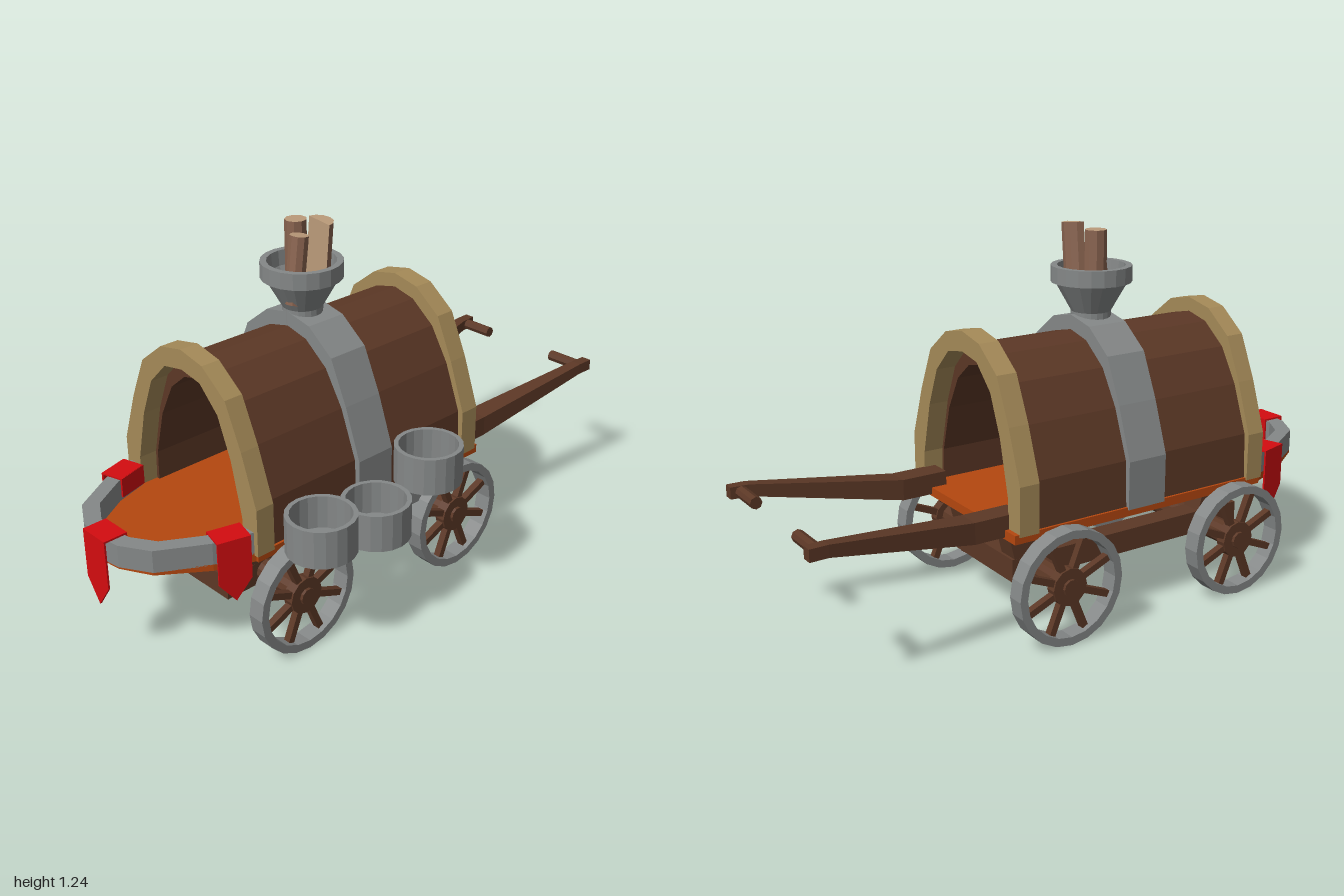
import * as THREE from 'three';

const mat = (name, color) => {
  const m = new THREE.MeshStandardMaterial({ color, flatShading: true, side: THREE.DoubleSide });
  m.name = name;
  return m;
};

export function createModel() {
  const wood = mat('dark wood', 0x5c3826);
  const metal = mat('grey metal', 0x858888);
  const plank = mat('orange floor', 0xb5470f);
  const gold = mat('tan trim', 0xa58a58);
  const red = mat('red cloth', 0xd40c10);
  const bark = mat('log bark', 0x8a6450);
  const cream = mat('cut log', 0xbb9b7a);

  const root = new THREE.Group();
  root.name = 'wagon';
  const body = new THREE.Group(); // everything symmetric about the wagon's own middle
  body.name = 'wagonBody';
  body.position.x = -0.08;
  root.add(body);

  const add = (parent, name, geo, material, x = 0, y = 0, z = 0) => {
    const m = new THREE.Mesh(geo, material);
    m.name = name;
    m.position.set(x, y, z);
    parent.add(m);
    return m;
  };
  const box = (w, h, d) => new THREE.BoxGeometry(w, h, d);
  const lathe = (pts, n) => new THREE.LatheGeometry(pts.map(p => new THREE.Vector2(...p)), n);
  const shapeOf = pts => new THREE.Shape(pts.map(p => new THREE.Vector2(...p)));
  const extrude = (pts, depth) => new THREE.ExtrudeGeometry(shapeOf(pts), { depth, bevelEnabled: false });
  // half profile (side to middle) mirrored into a full run from +x to -x
  const mirror = half => [...half, ...half.slice(0, -1).reverse().map(([x, y]) => [-x, y])];

  // Arched cover, its end trims and the metal band
  const outer = mirror([[0.325, 0.37], [0.325, 0.53], [0.265, 0.70], [0.2, 0.845], [0.1, 0.922], [0, 0.943]]);
  const coverOut = mirror([[0.312, 0.37], [0.305, 0.53], [0.245, 0.69], [0.175, 0.805], [0.085, 0.875], [0, 0.895]]);
  const trimIn = mirror([[0.262, 0.37], [0.257, 0.48], [0.215, 0.655], [0.162, 0.785], [0.085, 0.862], [0, 0.878]]);
  const inner = mirror([[0.25, 0.37], [0.247, 0.48], [0.205, 0.635], [0.145, 0.75], [0.075, 0.808], [0, 0.826]]);
  const arch = (name, out, inn, z0, z1, m) =>
    add(body, name, extrude([...out, ...[...inn].reverse()], z1 - z0), m, 0, 0, z0);
  arch('cover', coverOut, inner, -0.262, 0.582, wood);
  arch('frontTrim', outer, trimIn, 0.58, 0.645, gold);
  arch('backTrim', outer, trimIn, -0.33, -0.26, gold);
  arch('coverBand', outer, coverOut, 0.08, 0.225, metal);

  // Floor with rounded front whose underside rises toward the tip
  const nose = mirror([[0.31, -0.64], [0.27, -0.77], [0.18, -0.92], [0.085, -0.975], [0, -0.987]]);
  const floorGeo = extrude([[0.32, 0.345], [0.32, -0.64], ...nose, [-0.32, -0.64], [-0.32, 0.345]], 0.03);
  floorGeo.rotateX(-Math.PI / 2);
  const p = floorGeo.attributes.position;
  for (let i = 0; i < p.count; i++) {
    if (p.getY(i) < 0.01 && p.getZ(i) > 0.66) p.setY(i, (p.getZ(i) - 0.66) * 0.07);
  }
  floorGeo.computeVertexNormals();
  add(body, 'floor', floorGeo, plank, 0, 0.348);

  // Curved front rail
  const noseIn = mirror([[0.258, -0.64], [0.222, -0.755], [0.15, -0.875], [0.072, -0.922], [0, -0.932]]);
  const railGeo = extrude([...nose, ...[...noseIn].reverse()], 0.075);
  railGeo.rotateX(-Math.PI / 2);
  add(body, 'frontRail', railGeo, metal, 0, 0.375);

  // Pennants folded over the rail
  const pennant = (name, x, z, turn, s) => {
    const g = new THREE.Group();
    g.name = name;
    g.position.set(x, 0.457, z);
    g.rotation.y = turn;
    g.scale.y = s;
    add(g, 'pennantFront', extrude([[-0.054, 0], [-0.054, -0.165], [0, -0.242], [0.054, -0.165], [0.054, 0]], 0.006), red);
    add(g, 'pennantTop', box(0.108, 0.006, 0.076), red, 0, -0.003, -0.035);
    add(g, 'pennantBack', box(0.108, 0.075, 0.006), red, 0, -0.038, -0.073);
    body.add(g);
  };
  pennant('frontPennant', 0, 0.993, 0, 1);
  pennant('leftPennant', 0.302, 0.717, 1.3, 0.88);
  pennant('rightPennant', -0.302, 0.717, -1.3, 0.88);

  // Undercarriage frame and slanted posts
  for (const s of [-1, 1]) {
    add(body, 'frameBeam', box(0.077, 0.077, 0.93), wood, s * 0.149, 0.196, 0.195);
    for (const z of [0.55, -0.23]) {
      const post = add(body, 'framePost', box(0.076, 0.17, 0.085), wood, s * 0.149, 0.285, z);
      post.rotation.x = z > 0.2 ? 0.25 : -0.25;
    }
  }
  for (const z of [0.62, -0.23]) add(body, 'crossBeam', box(0.374, 0.077, 0.08), wood, 0, 0.196, z);

  // Axles and spoked wheels
  const wheel = (x, z) => {
    const g = new THREE.Group();
    g.name = 'wheel';
    g.position.set(x, 0.192, z);
    const rim = lathe([[0.163, -0.029], [0.19, -0.029], [0.19, 0.029], [0.163, 0.029], [0.163, -0.029]], 20);
    add(g, 'rim', rim.rotateZ(Math.PI / 2), metal);
    add(g, 'hub', new THREE.CylinderGeometry(0.062, 0.062, 0.036, 12).rotateZ(Math.PI / 2), wood);
    add(g, 'hubCap', new THREE.CylinderGeometry(0.028, 0.028, 0.056, 10).rotateZ(Math.PI / 2), wood);
    for (let i = 0; i < 8; i++) {
      const spoke = box(0.024, 0.13, 0.022).translate(0, 0.108, 0);
      add(g, 'spoke', spoke, wood).rotation.x = (i + 0.5) * Math.PI / 4;
    }
    body.add(g);
  };
  for (const z of [0.503, -0.182]) {
    add(body, 'axle', new THREE.CylinderGeometry(0.039, 0.039, 0.68, 12).rotateZ(Math.PI / 2), wood, 0, 0.196, z);
    wheel(0.361, z);
    wheel(-0.361, z);
  }

  // Pull shafts: rectangular cross-sections [z, xMin, xMax, yMin, yMax]
  const sections = [
    [-0.29, 0.186, 0.264, 0.355, 0.425], [-0.45, 0.186, 0.264, 0.355, 0.425],
    [-0.94, 0.268, 0.306, 0.446, 0.485], [-1.0, 0.272, 0.308, 0.446, 0.485],
  ];
  const shaftGeo = side => {
    const v = [], idx = [];
    for (const [z, a, b, c, d] of sections) {
      for (const [x, y] of [[a, c], [b, c], [b, d], [a, d]]) v.push(side * x, y, z);
    }
    const quad = (a, b, c, d) => side > 0 ? idx.push(a, b, c, a, c, d) : idx.push(a, c, b, a, d, c);
    for (let i = 0; i < sections.length - 1; i++) {
      for (let k = 0; k < 4; k++) {
        const n = (k + 1) % 4, o = i * 4;
        quad(o + k, o + 4 + k, o + 4 + n, o + n);
      }
    }
    quad(0, 1, 2, 3);
    quad(15, 14, 13, 12);
    const g = new THREE.BufferGeometry();
    g.setAttribute('position', new THREE.Float32BufferAttribute(v, 3));
    g.setIndex(idx);
    const flat = g.toNonIndexed();
    flat.computeVertexNormals();
    return flat;
  };
  for (const s of [-1, 1]) {
    add(body, 'pullShaft', shaftGeo(s), wood);
    add(body, 'pullHandle', new THREE.CylinderGeometry(0.02, 0.02, 0.15, 8).rotateZ(Math.PI / 2), wood, s * 0.228, 0.465, -0.965);
  }

  // Chimney funnel with a hollow collar
  add(body, 'funnel', lathe([
    [0, 0.9], [0.066, 0.9], [0.066, 0.95], [0.12, 1.046], [0.133, 1.046], [0.133, 1.1],
    [0.112, 1.1], [0.108, 1.05], [0.06, 0.97], [0, 0.97],
  ], 20), metal, 0, 0, 0.16);

  // Logs standing in the funnel, one of them split
  const log = (name, x, z, top, r, rx, rz) => {
    const geo = new THREE.CylinderGeometry(r, r, 0.22, 9);
    const m = add(body, name, geo, [bark, cream, cream], x, top - 0.11, z);
    m.rotation.set(rx, 0, rz);
  };
  log('tallLog', -0.042, 0.145, 1.22, 0.036, 0, 0);
  log('shortLog', 0.02, 0.2, 1.192, 0.031, -0.13, 0);
  const split = new THREE.Group();
  split.name = 'splitLog';
  split.position.set(0.045, 1.125, 0.135);
  split.rotation.z = -0.1;
  add(split, 'splitBark', new THREE.CylinderGeometry(0.046, 0.046, 0.22, 6, 1, false, Math.PI / 2, Math.PI), [bark, cream, cream]);
  add(split, 'splitFace', new THREE.PlaneGeometry(0.092, 0.22), cream);
  body.add(split);

  // Side buckets and their bracket
  const bucket = lathe([[0, 0], [0.111, 0], [0.111, 0.125], [0.096, 0.125], [0.096, 0.015], [0, 0.015]], 20);
  for (const [y, z] of [[0.385, 0.493], [0.34, 0.263], [0.443, 0.03]]) add(root, 'bucket', bucket, metal, 0.358, y, z);
  add(root, 'bucketBracket', box(0.02, 0.05, 0.5), metal, 0.26, 0.322, 0.16);

  return root;
}
